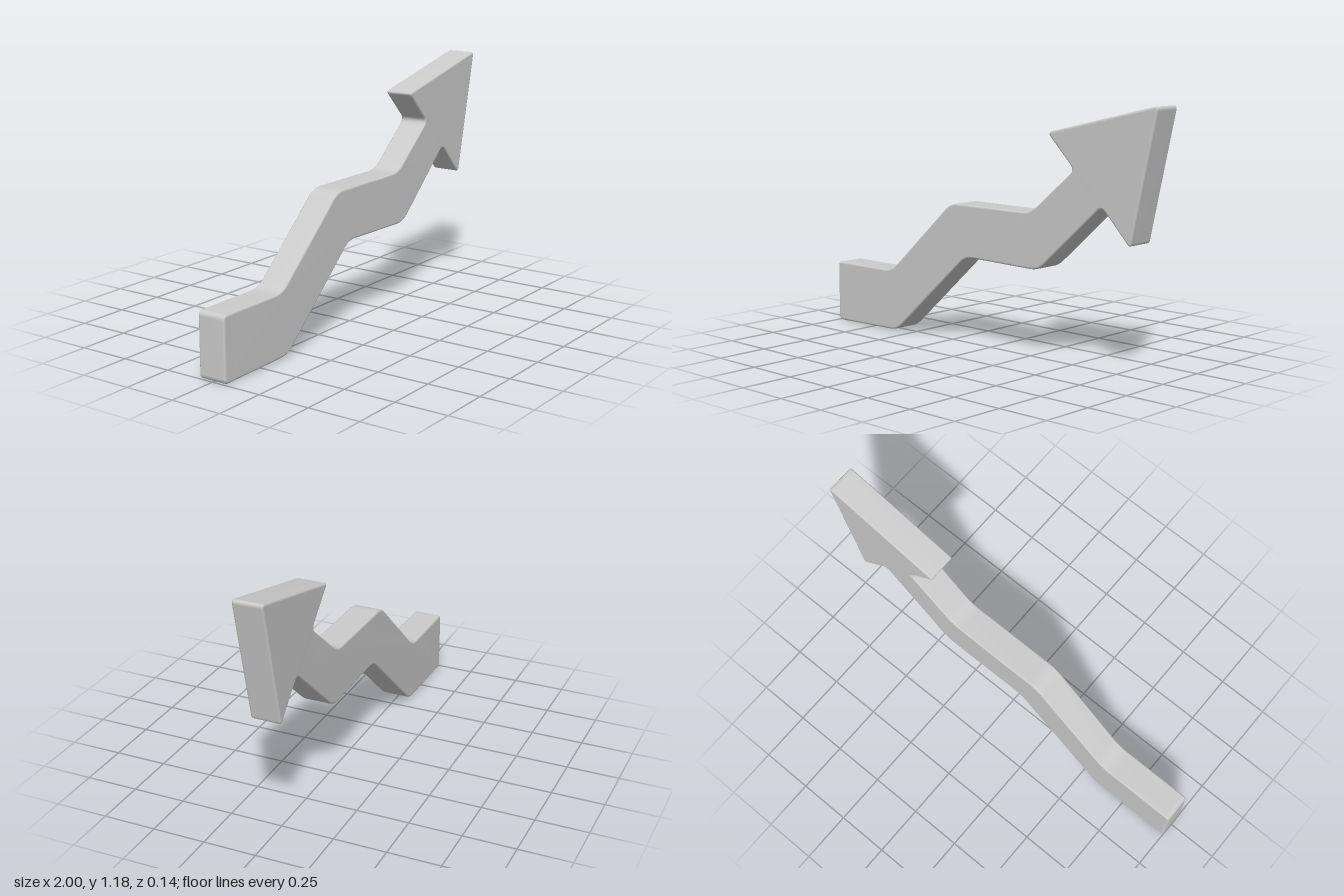
import * as THREE from 'three';
import { mergeVertices } from 'three/addons/utils/BufferGeometryUtils.js';

// Closed outline whose corners [x, y, cut] are rounded, starting 'cut' away from each corner
function roundedOutline(corners) {
  const shape = new THREE.Shape();
  const n = corners.length;
  const points = corners.map(([x, y]) => new THREE.Vector2(x, y));
  points.forEach((p, i) => {
    const cut = corners[i][2];
    const toward = (q) => q.clone().sub(p).setLength(cut).add(p);
    const a = toward(points[(i + n - 1) % n]);
    const b = toward(points[(i + 1) % n]);
    if (i === 0) shape.moveTo(a.x, a.y);
    else shape.lineTo(a.x, a.y);
    shape.quadraticCurveTo(p.x, p.y, b.x, b.y);
  });
  shape.closePath();
  return shape;
}

export function createModel() {
  const group = new THREE.Group();
  group.name = 'risingArrow';

  const outline = roundedOutline([
    // underside of the zigzag shaft
    [-1, 0, 0.025], [-0.57, 0.008, 0.05], [-0.1, 0.427, 0.05], [0.353, 0.418, 0.05],
    // arrowhead
    [0.71, 0.737, 0.03], [0.867, 0.573, 0.025], [1.003, 1.181, 0.025],
    [0.402, 1.04, 0.025], [0.556, 0.885, 0.03],
    // top side of the shaft
    [0.305, 0.675, 0.05], [-0.193, 0.675, 0.05], [-0.605, 0.303, 0.05], [-1, 0.303, 0.025],
  ]);

  // Thin slab with softly rounded edges
  const halfDepth = 0.07;
  const bevel = 0.009;
  let geometry = new THREE.ExtrudeGeometry(outline, {
    depth: 2 * (halfDepth - bevel),
    curveSegments: 6,
    bevelEnabled: true,
    bevelSize: bevel,
    bevelThickness: bevel,
    bevelOffset: -bevel,
    bevelSegments: 3,
  });
  geometry.translate(0, 0, -(halfDepth - bevel));

  // Weld and smooth: large faces stay flat, the narrow bevels carry the turn
  geometry.deleteAttribute('normal');
  geometry.deleteAttribute('uv');
  geometry = mergeVertices(geometry);
  geometry.computeVertexNormals();

  const arrow = new THREE.Mesh(geometry, new THREE.MeshStandardMaterial({ color: 0xcccccc }));
  arrow.name = 'zigzagArrow';
  group.add(arrow);
  return group;
}
